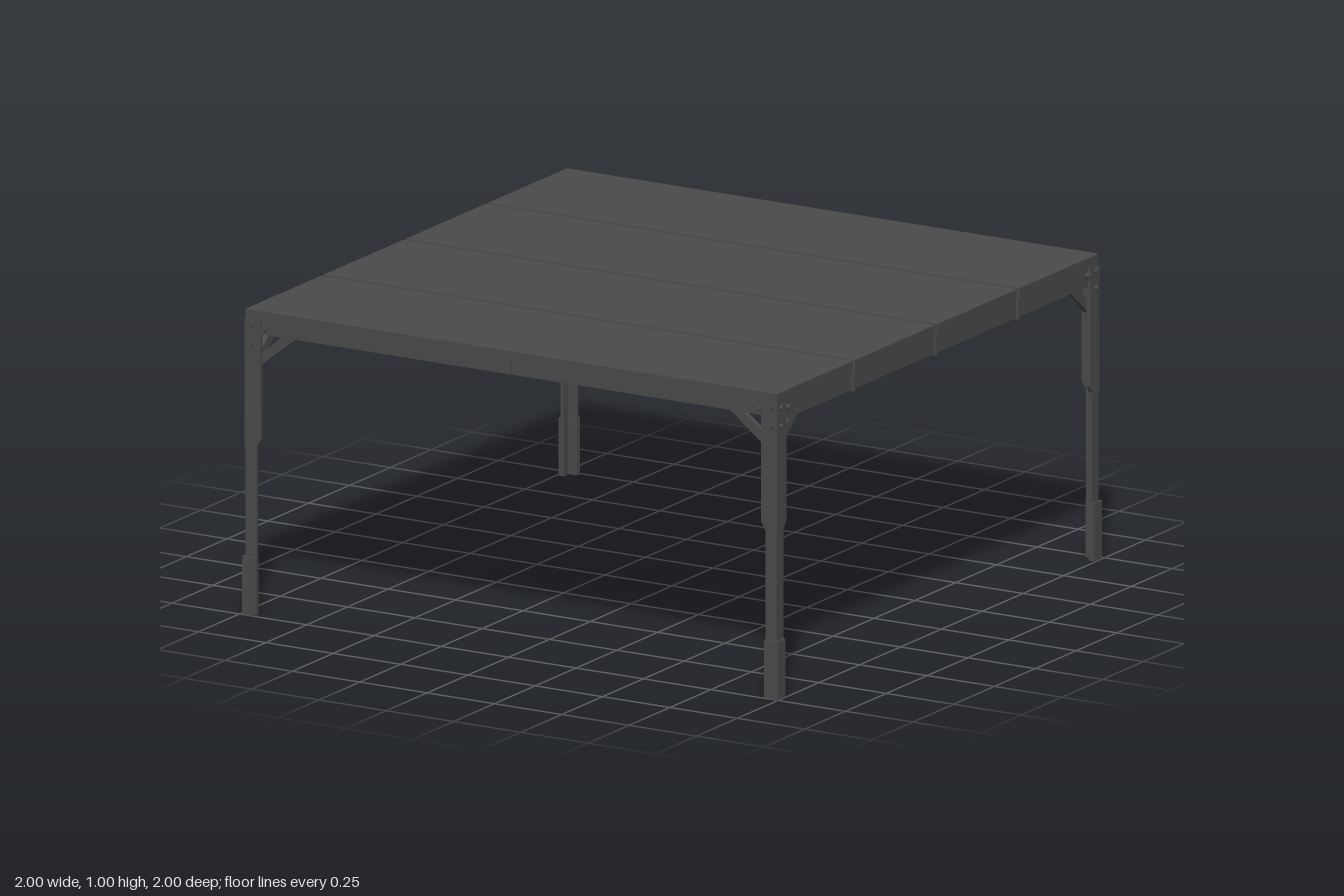
import * as THREE from 'three';

export function createModel() {
  const model = new THREE.Group();
  model.name = 'canopy';
  const steel = new THREE.MeshStandardMaterial({ color: 0x4a4a4a });
  steel.name = 'dark grey steel';

  const add = (parent, name, geometry, x = 0, y = 0, z = 0) => {
    const mesh = new THREE.Mesh(geometry, steel);
    mesh.name = name;
    mesh.position.set(x, y, z);
    parent.add(mesh);
    return mesh;
  };
  const box = (parent, name, w, h, d, x, y, z) =>
    add(parent, name, new THREE.BoxGeometry(w, h, d), x, y, z);
  // Flat plate in x/y, mirrored by s, filling z0 to z1
  const plate = (parent, name, points, s, z0, z1) => {
    const shape = new THREE.Shape(points.map(([x, y]) => new THREE.Vector2(x * s, y)));
    const geometry = new THREE.ExtrudeGeometry(shape, { depth: z1 - z0, bevelEnabled: false });
    return add(parent, name, geometry, 0, 0, z0);
  };

  // Roof: four panels separated by narrow seams
  const seams = [-0.493, 0.01, 0.513];
  const edges = [-0.985, ...seams, 0.985];
  for (let i = 0; i < 4; i++) {
    const a = edges[i] + (i > 0 ? 0.006 : 0);
    const b = edges[i + 1] - (i < 3 ? 0.006 : 0);
    box(model, 'roofPanel', 1.974, 0.03, b - a, 0, 0.988, (a + b) / 2);
  }

  // Rafters below the seams, with an end bracket on each side
  for (const z of seams) {
    box(model, 'rafter', 1.95, 0.05, 0.03, 0, 0.948, z);
    for (const s of [-1, 1]) {
      box(model, 'rafterJointPlate', 0.01, 0.068, 0.014, s * 0.984, 0.937, z);
      const gusset = [[0.972, 0.907], [0.972, 0.973], [0.9, 0.973], [0.9, 0.925], [0.93, 0.907]];
      for (const side of [-1, 1])
        plate(model, 'rafterBracket', gusset, s, z + side * 0.019 - 0.004, z + side * 0.019 + 0.004);
    }
  }

  // Four identical sides: edge beam, half of each corner leg, and braces
  for (let k = 0; k < 4; k++) {
    const side = new THREE.Group();
    side.name = ['frontSide', 'leftSide', 'backSide', 'rightSide'][k];
    side.rotation.y = k * Math.PI / 2;
    model.add(side);
    const low = k % 2 ? 0.907 : 0.926;

    // Angle-section beam
    box(side, 'edgeBeam', 1.95, 0.973 - low, 0.01, 0, (0.973 + low) / 2, 0.977);
    box(side, 'beamTopFlange', 1.95, 0.008, 0.04, 0, 0.969, 0.957);
    box(side, 'beamBottomFlange', 1.95, 0.008, 0.025, 0, low + 0.004, 0.965);
    if (k % 2 === 0) box(side, 'beamJointPlate', 0.018, 0.045, 0.008, -0.01, 0.952, 0.982);

    for (const s of [-1, 1]) {
      // Angle-section leg: one flange on each side
      plate(side, 'legUpper', [[0.988, 0.55], [0.988, 0.973], [0.929, 0.973], [0.929, 0.578],
        [0.943, 0.555], [0.943, 0.55]], s, 0.976, 0.988);
      plate(side, 'legLower', [[0.986, 0.1], [0.986, 0.56], [0.945, 0.56], [0.945, 0.1]], s, 0.976, 0.986);
      plate(side, 'foot', [[0.994, 0], [0.994, 0.19], [0.944, 0.19], [0.944, 0]], s, 0.974, 0.994);

      // Diagonal knee brace
      const reach = k % 2 ? 0.83 : 0.8;
      plate(side, 'kneeBrace', [[0.945, 0.815], [0.945, 0.853], [reach + 0.04, low + 0.012],
        [reach - 0.012, low + 0.012]], s, 0.957, 0.974);

      // Corner bolts
      for (const [x, y] of [[0.965, 0.953], [0.965, 0.893], [0.918, 0.945]]) {
        const bolt = add(side, 'bolt', new THREE.CylinderGeometry(0.01, 0.01, 0.025, 6), s * x, y, 0.986);
        bolt.rotation.x = Math.PI / 2;
      }
    }
  }
  return model;
}
